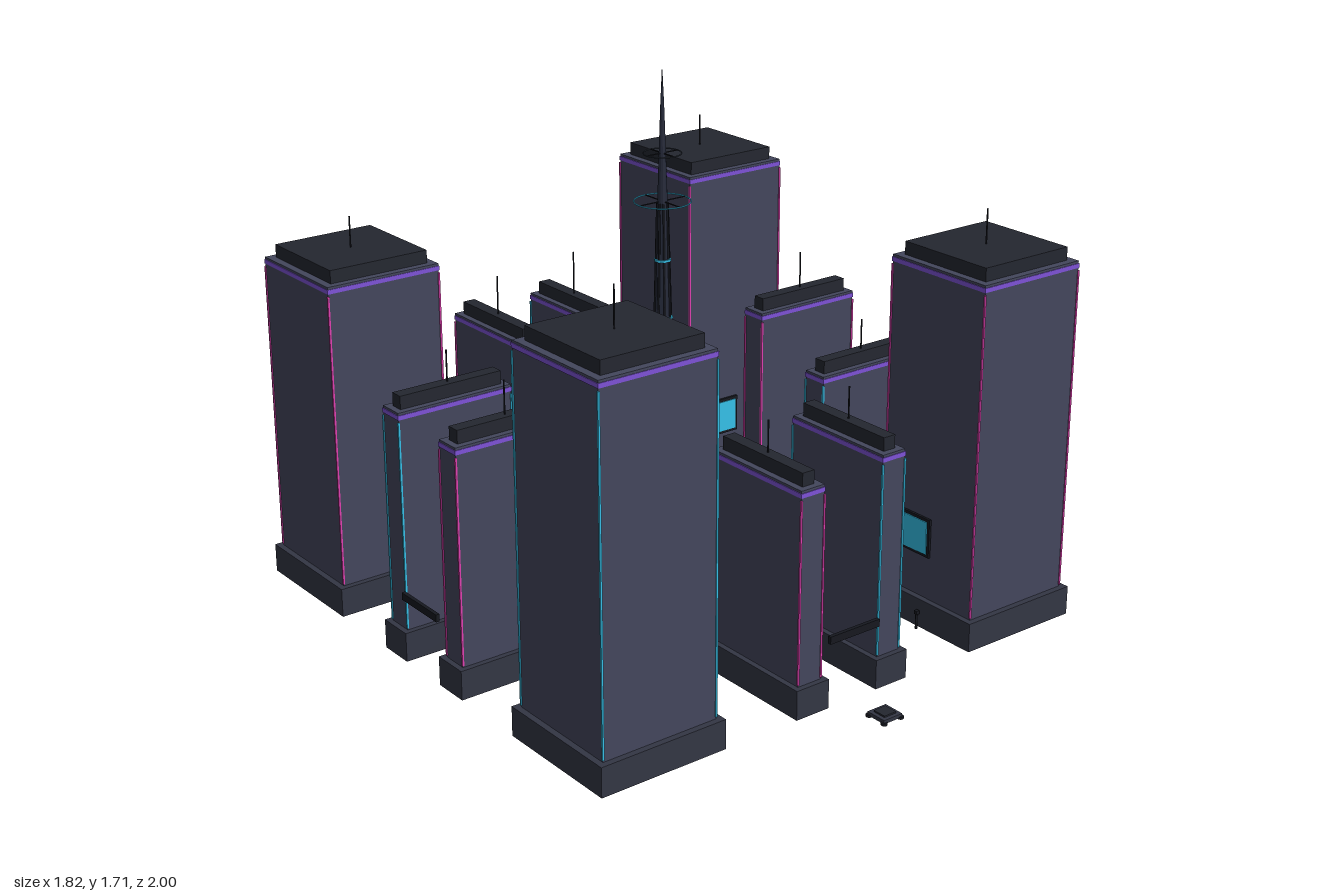
import * as THREE from 'three';

const mat = (color, extra = {}) => new THREE.MeshStandardMaterial({ color, ...extra });
const M = {
  wall: mat(0x43465c), base: mat(0x333644), roof: mat(0x242730), walk: mat(0x2a313c),
  spire: mat(0x232838, { flatShading: true }), dark: mat(0x16181f), cyan: mat(0x35c0e8),
  magenta: mat(0xe040b0), purple: mat(0x7d52d6), red: mat(0x5a2632), orange: mat(0xe09a30),
};
const CZ = -0.093; // centre of the city block along z

function add(parent, name, geo, material, x, y, z) {
  const m = new THREE.Mesh(geo, material);
  m.name = name;
  m.position.set(x, y, z);
  parent.add(m);
  return m;
}
// box standing on height y
const box = (p, name, w, h, d, material, x, y, z) =>
  add(p, name, new THREE.BoxGeometry(w, h, d), material, x, y + h / 2, z);
const rod = (p, name, r, h, material, x, y, z) =>
  add(p, name, new THREE.CylinderGeometry(r, r, h, 8), material, x, y + h / 2, z);

function building(name, x, z, w, d, top, antenna, neon) {
  const g = new THREE.Group();
  g.name = name;
  g.position.set(x, 0, z);
  const slab = Math.min(w, d) < 0.2;
  const inset = slab ? 0.036 : 0.04;
  const bw = w - inset, bd = d - inset, crown = slab ? 0.078 : 0.09;
  box(g, 'podium', w, 0.094, d, M.base, 0, 0, 0);
  box(g, 'body', bw, top - 0.094, bd, M.wall, 0, 0.094, 0);
  box(g, 'roofBand', bw + 0.004, 0.014, bd + 0.004, M.purple, 0, top - 0.022, 0);
  box(g, 'crown', w - crown, 0.042, d - crown, M.roof, 0, top, 0);
  rod(g, 'antenna', 0.0025, antenna, M.dark, 0, top + 0.042, 0);
  // glowing strips on the four upright edges
  for (const sx of [-1, 1]) for (const sz of [-1, 1])
    box(g, 'edgeStrip', 0.006, top - 0.13, 0.006, neon, sx * bw / 2, 0.1, sz * bd / 2);
  return g;
}

function billboard(p, x, z, turn, color) {
  const g = new THREE.Group();
  g.name = 'billboard';
  g.position.set(x, 0.302, z);
  g.rotation.y = turn;
  add(g, 'frame', new THREE.BoxGeometry(0.205, 0.128, 0.008), M.dark, 0, 0, 0);
  add(g, 'screen', new THREE.BoxGeometry(0.185, 0.108, 0.004), color, 0, 0, 0.005);
  p.add(g);
}

function spire() {
  const g = new THREE.Group();
  g.name = 'spire';
  g.position.z = CZ;
  const profile = [[0.058, 0], [0.05, 0.2], [0.037, 0.565], [0.026, 0.935], [0.016, 1.3], [0.011, 1.455], [0.006, 1.6], [0.001, 1.71]];
  box(g, 'plinth', 0.225, 0.014, 0.225, M.dark, 0, 0, 0);
  add(g, 'shaft', new THREE.LatheGeometry(profile.map(([r, y]) => new THREE.Vector2(r, y)), 12), M.spire, 0, 0, 0);
  const radiusAt = (y) => {
    const i = Math.max(1, profile.findIndex((q) => q[1] >= y));
    const [a, b] = [profile[i - 1], profile[i]];
    return a[0] + (b[0] - a[0]) * (y - a[1]) / (b[1] - a[1]);
  };
  // ribs running up the shaft
  for (let i = 0; i < 8; i++) {
    const a = (i + 0.5) * Math.PI / 4;
    const pts = [0, 0.2, 0.565, 0.935, 1.3].map((y) =>
      new THREE.Vector3(Math.cos(a) * radiusAt(y), y, Math.sin(a) * radiusAt(y)));
    add(g, 'rib', new THREE.TubeGeometry(new THREE.CatmullRomCurve3(pts), 8, 0.004, 5), M.dark, 0, 0, 0);
  }
  for (let y = 0.195; y < 1.2; y += 0.185)
    add(g, 'lightBand', new THREE.CylinderGeometry(radiusAt(y) + 0.005, radiusAt(y) + 0.005, 0.007, 16), M.cyan, 0, y, 0);
  // halo rings with spokes
  for (const [y, r, m] of [[1.305, 0.087, M.cyan], [1.455, 0.058, M.walk]]) {
    add(g, 'haloRing', new THREE.TorusGeometry(r, 0.0022, 6, 40), m, 0, y, 0).rotation.x = Math.PI / 2;
    box(g, 'haloSpoke', 2 * r, 0.003, 0.003, M.dark, 0, y - 0.0015, 0);
    box(g, 'haloSpoke', 0.003, 0.003, 2 * r, M.dark, 0, y - 0.0015, 0);
  }
  return g;
}

function stairs(x, z, dir) {
  const g = new THREE.Group();
  g.name = 'stairs';
  const n = 9, run = 0.185 / n;
  for (let i = 0; i < n; i++) {
    const y = 0.142 * (1 - (i + 1) / (n + 1)), sz = z + dir * run * (i + 0.5);
    box(g, 'step', 0.076, 0.012, run, M.walk, x, y, sz);
    box(g, 'tread', 0.074, 0.002, run, M.cyan, x, y + 0.012, sz);
  }
  box(g, 'threshold', 0.08, 0.016, 0.008, M.dark, x, 0, z + dir * 0.187);
  return g;
}

function skywalk() {
  const g = new THREE.Group();
  g.name = 'skywalk';
  const Y = 0.145, H = 0.02, P = 0.346;
  for (const s of [-1, 1]) {
    box(g, 'sideWalk', 0.078, H, 0.5, M.walk, s * P, Y, CZ);
    box(g, 'crossWalk', 0.5, H, 0.076, M.walk, 0, Y, CZ + s * P);
    // low rails on the walkways
    for (const e of [-1, 1]) {
      box(g, 'rail', 0.004, 0.012, 0.49, M.dark, s * P + e * 0.037, Y + H, CZ);
      box(g, 'rail', 0.49, 0.012, 0.004, M.dark, 0, Y + H, CZ + s * P + e * 0.036);
    }
    for (const t of [-1, 1]) {
      const x = s * P, z = CZ + t * P;
      box(g, 'cornerDeck', 0.206, 0.028, 0.206, M.walk, x, Y - 0.002, z);
      for (const i of [-1, 1]) for (const j of [-1, 1])
        rod(g, 'column', 0.009, Y, M.walk, x + i * 0.075, 0, z + j * 0.075);
      rod(g, 'column', 0.008, Y, M.walk, x, 0, CZ + t * 0.2);
      rod(g, 'column', 0.008, Y, M.walk, s * 0.2, 0, z);
    }
  }
  g.add(stairs(P, CZ - P - 0.1, -1), stairs(-P, CZ + P + 0.1, 1));
  return g;
}

export function createModel() {
  const city = new THREE.Group();
  city.name = 'city';

  // corner towers: x side, z side, roof height, antenna, edge colour, inner z screen colour
  const R = 0.69;
  for (const [sx, sz, top, ant, neon, screen] of [
    [-1, 1, 1.193, 0.125, M.cyan, M.cyan], [1, 1, 1.165, 0.11, M.magenta, M.magenta],
    [1, -1, 1.185, 0.105, M.magenta, M.cyan], [-1, -1, 1.08, 0.1, M.magenta, M.magenta]]) {
    city.add(building('cornerTower', sx * R, CZ + sz * R, 0.43, 0.43, top, ant, neon));
    billboard(city, sx * 0.487, CZ + sz * 0.605, -sx * Math.PI / 2, M.cyan);
    billboard(city, sx * 0.595, CZ + sz * 0.487, sz > 0 ? Math.PI : 0, screen);
  }

  // paired slab blocks on each side
  const S = 0.153;
  for (const [sx, sz, top, ant, neon] of [
    [-1, 1, 0.705, 0.1, M.magenta], [1, 1, 0.735, 0.1, M.cyan],
    [-1, -1, 0.748, 0.13, M.magenta], [1, -1, 0.757, 0.145, M.cyan]])
    city.add(building('slabBlock', sx * S, CZ + sz * R, 0.121, 0.43, top, ant, neon));
  for (const [sx, sz, top, ant, neon] of [
    [-1, 1, 0.785, 0.105, M.magenta], [1, 1, 0.68, 0.1, M.cyan],
    [-1, -1, 0.795, 0.1, M.cyan], [1, -1, 0.81, 0.12, M.magenta]])
    city.add(building('slabBlock', sx * R, CZ + sz * S, 0.43, 0.121, top, ant, neon));

  // thin bridges joining each slab pair
  for (const s of [-1, 1]) for (const d of [R - 0.215, R + 0.215]) {
    box(city, 'slabBridge', 0.19, 0.024, 0.012, M.dark, 0, 0.208, CZ + s * d);
    box(city, 'slabBridge', 0.012, 0.024, 0.19, M.dark, s * d, 0.208, CZ);
  }

  city.add(spire(), skywalk());

  // street posts
  const posts = [];
  for (const s of [-1, 1]) {
    posts.push([s * 0.46, CZ + R], [s * 0.46, CZ - R], [s * 0.46, 0.075],
      [s * R, CZ + 0.463], [s * R, CZ - 0.463], [0.165, CZ + s * 0.463]);
  }
  for (const [x, z] of posts) {
    rod(city, 'streetPost', 0.004, 0.05, M.dark, x, 0, z);
    box(city, 'postLamp', 0.012, 0.012, 0.012, M.dark, x, 0.05, z);
  }

  // benches around the spire
  for (const s of [-1, 1]) {
    box(city, 'bench', 0.035, 0.014, 0.008, M.dark, s * 0.065, 0, -0.243);
    for (const z of [-0.16, -0.03]) box(city, 'bench', 0.008, 0.014, 0.035, M.dark, s * 0.15, 0, z);
  }

  // market stall
  const stall = new THREE.Group();
  stall.name = 'marketStall';
  stall.position.set(0.176, 0, -0.307);
  box(stall, 'counter', 0.07, 0.025, 0.03, M.dark, 0, 0, 0);
  box(stall, 'awning', 0.084, 0.006, 0.046, M.red, 0, 0.05, 0);
  box(stall, 'sign', 0.06, 0.008, 0.003, M.orange, 0, 0.041, 0.021);
  for (const sx of [-1, 1]) for (const sz of [-1, 1])
    rod(stall, 'stallPost', 0.002, 0.05, M.dark, sx * 0.036, 0, sz * 0.018);
  city.add(stall);

  // small parked flyer
  const flyer = new THREE.Group();
  flyer.name = 'flyer';
  flyer.position.set(0, 0, 0.952);
  box(flyer, 'flyerBody', 0.07, 0.012, 0.07, M.base, 0, 0.004, 0);
  box(flyer, 'flyerTop', 0.045, 0.005, 0.045, M.roof, 0, 0.016, 0);
  for (const sx of [-1, 1]) for (const sz of [-1, 1])
    rod(flyer, 'flyerRotor', 0.01, 0.008, M.dark, sx * 0.032, 0, sz * 0.032);
  city.add(flyer);

  return city;
}
